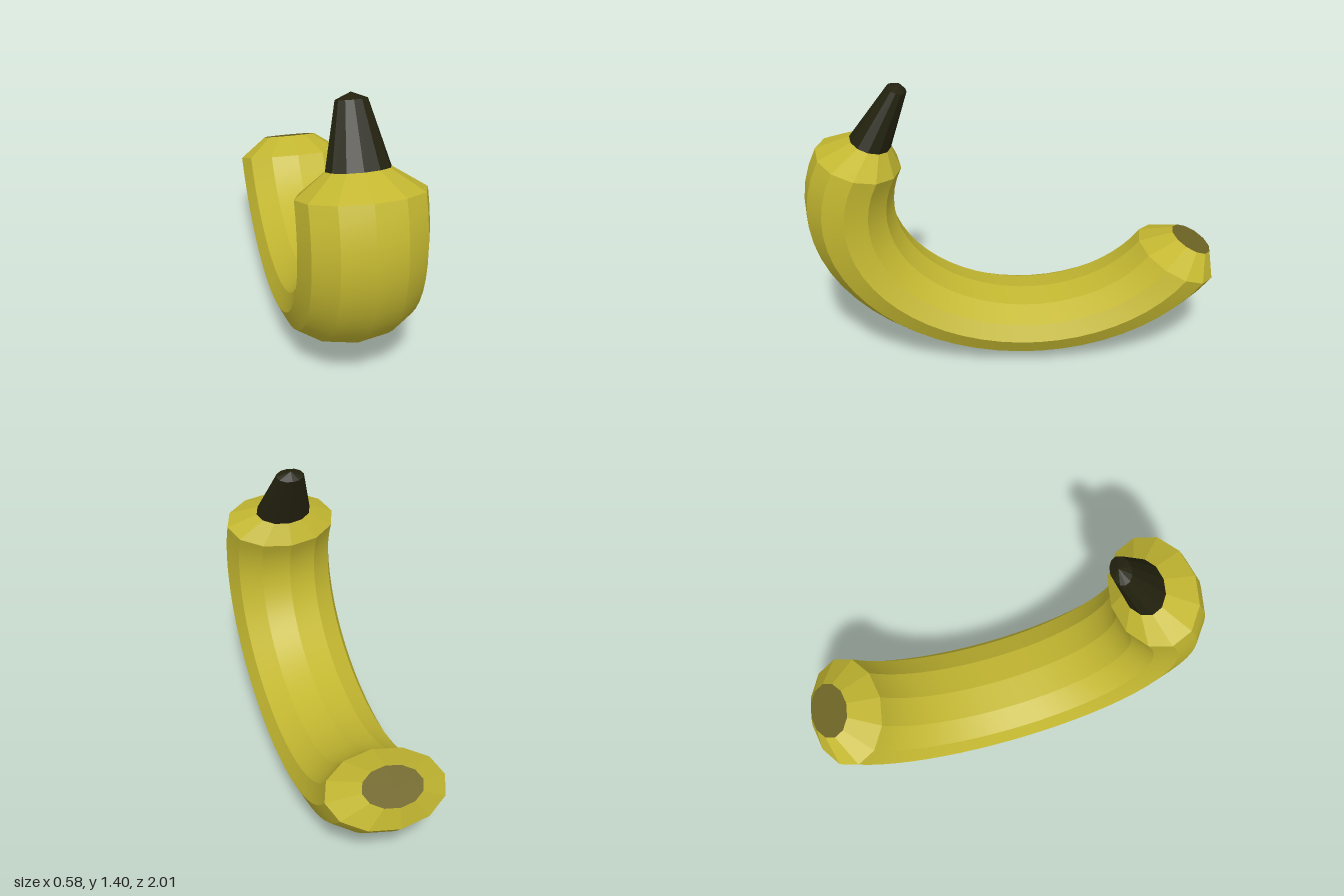
import * as THREE from 'three';

const SIDES = 12;

// Cross-section: centre (z, y), half-axis (az, ay) towards the outer curve, half-width rx
function ring(z, y, az, ay, rx) {
  return Array.from({ length: SIDES }, (_, k) => {
    const t = (k / SIDES) * Math.PI * 2;
    return [rx * Math.sin(t), y + ay * Math.cos(t), z + az * Math.cos(t)];
  });
}

// Joins rings into a skin: smooth along its length, creased between the sides
function loft(rings) {
  const pos = [], index = [];
  for (let k = 0; k < SIDES; k++) {
    const start = pos.length / 3;
    rings.forEach((r, i) => {
      pos.push(...r[k], ...r[(k + 1) % SIDES]);
      if (i === 0) return;
      const a = start + 2 * (i - 1);
      index.push(a, a + 2, a + 1, a + 1, a + 2, a + 3);
    });
  }
  const g = new THREE.BufferGeometry();
  g.setAttribute('position', new THREE.Float32BufferAttribute(pos, 3));
  g.setIndex(index);
  g.computeVertexNormals();
  return g;
}

export function createModel() {
  const group = new THREE.Group();
  const peel = new THREE.MeshStandardMaterial({ name: 'yellow peel', color: 0xc4b831 });
  const stemDark = new THREE.MeshStandardMaterial({ name: 'dark stem', color: 0x23220f });
  const tipOlive = new THREE.MeshStandardMaterial({ name: 'olive tip', color: 0x6e6424 });
  const add = (name, material, ...rings) => {
    const mesh = new THREE.Mesh(loft(rings), material);
    mesh.name = name;
    group.add(mesh);
  };

  // Body: part of a squashed torus, from the stem end down and round to the tail
  const body = [];
  const steps = 27;
  for (let i = 0; i <= steps; i++) {
    const a = THREE.MathUtils.degToRad(21 - (171 * i) / steps);
    const c = Math.cos(a), s = Math.sin(a);
    body.push(ring(-0.08 + 0.865 * c, 0.8 + 0.648 * s, 0.215 * c, 0.152 * s, 0.288));
  }
  add('body', peel, ...body);

  // Tapered shoulders at both ends
  const stemBase = ring(0.667, 1.115, 0.0965, 0.03, 0.144);
  const tailRim = ring(-0.905, 0.555, -0.095, -0.04, 0.144);
  add('stemShoulder', peel, stemBase, body[0]);
  add('tailShoulder', peel, body[steps], tailRim);

  // Stem with a shallow pointed top
  const stemRim = ring(0.53, 1.375, 0.046, 0.015, 0.072);
  add('stem', stemDark, stemRim, stemBase);
  add('stemTop', stemDark, ring(0.517, 1.402, 0, 0, 0), stemRim);

  // Flat end of the tail
  add('tailEnd', tipOlive, tailRim, ring(-0.905, 0.555, 0, 0, 0));
  return group;
}
